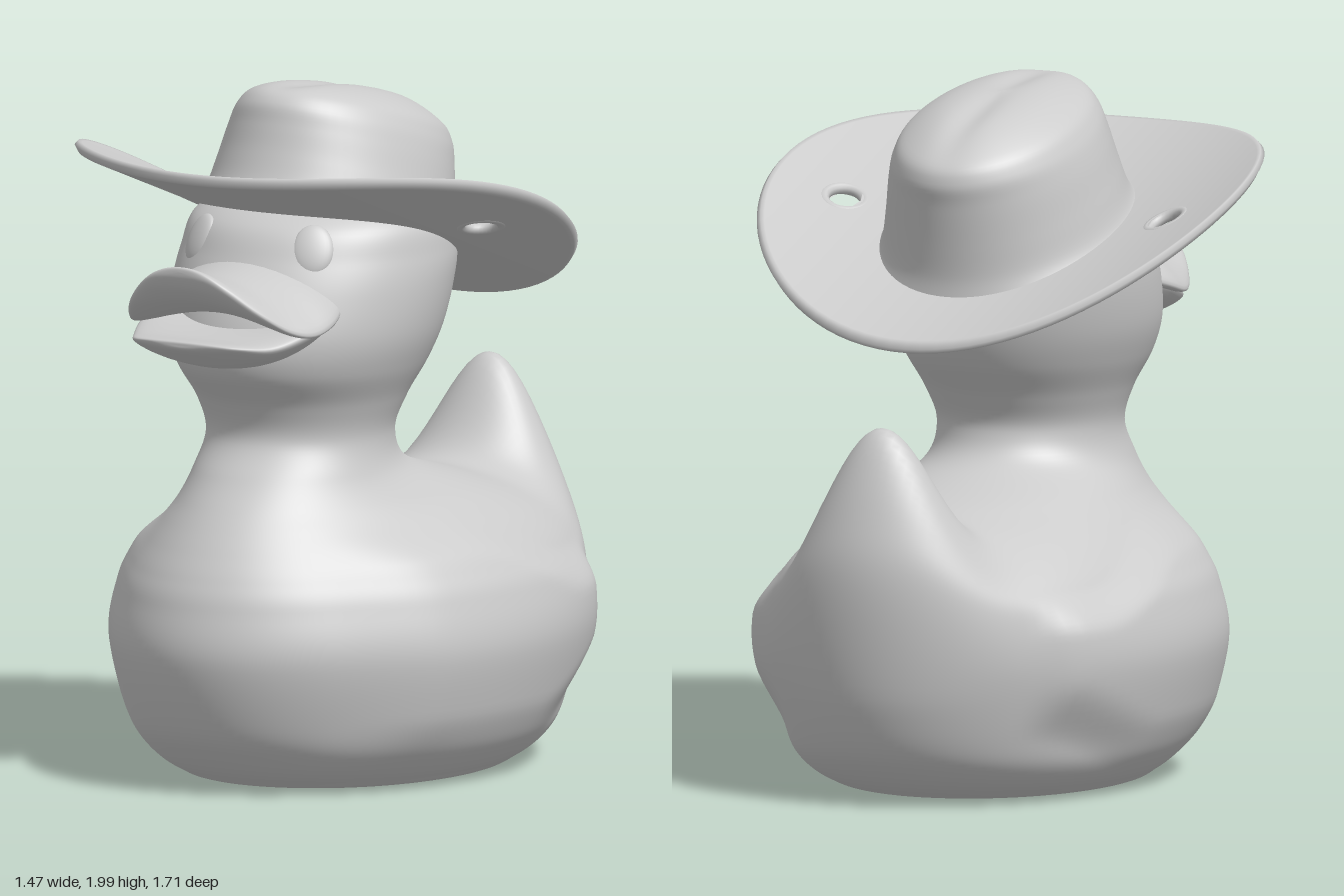
import * as THREE from 'three';

const { smoothstep } = THREE.MathUtils;
const material = new THREE.MeshStandardMaterial({ color: 0xcccccc, side: THREE.DoubleSide });

// Smoothly interpolate rows of section parameters, with `steps` samples per span
function spline(rows, steps) {
  const out = [];
  const last = rows.length - 1;
  for (let i = 0; i < last; i++) {
    const [a, b, c, d] = [rows[Math.max(i - 1, 0)], rows[i], rows[i + 1], rows[Math.min(i + 2, last)]];
    for (let s = 0; s < steps; s++) {
      const t = s / steps;
      out.push(b.map((q, k) => {
        const linear = c[k] - a[k];
        const square = 2 * a[k] - 5 * q + 4 * c[k] - d[k];
        const cube = 3 * (q - c[k]) + d[k] - a[k];
        return q + 0.5 * t * (linear + t * (square + t * cube));
      }));
    }
  }
  out.push(rows[last]);
  return out;
}

// Skin closed rings; point(row, cos, sin) returns [x, y, z]; skip(i, j) leaves a cell open
function loft(name, rows, sides, point, skip = () => false) {
  const pos = [], index = [];
  rows.forEach((row, i) => {
    for (let j = 0; j < sides; j++) {
      const t = (j / sides) * Math.PI * 2;
      pos.push(...point(row, Math.cos(t), Math.sin(t)));
      if (i === rows.length - 1 || skip(i, j)) continue;
      const a = i * sides + j, b = i * sides + (j + 1) % sides;
      index.push(a, a + sides, b, b, a + sides, b + sides);
    }
  });
  const geo = new THREE.BufferGeometry();
  geo.setAttribute('position', new THREE.Float32BufferAttribute(pos, 3));
  geo.setIndex(index);
  geo.computeVertexNormals();
  const mesh = new THREE.Mesh(geo, material);
  mesh.name = name;
  return mesh;
}

// Tilted hat brim, curled up at the sides
const brimY = (x, z) => 1.507 + 0.358 * z + 0.165 * (x / 0.735) ** 2;

// Body, neck and head from [y, halfWidth, frontZ, backZ]
function bodyPoint([level, w, f, b], c, s) {
  let x = w * c, y = level;
  const z = (f + b) / 2 + ((f - b) / 2) * s;
  // folded wings swell from the flanks
  const wingTop = 0.78 - 0.16 * smoothstep(-z, -0.15, 0.4);
  const wingBottom = 0.05 + 0.15 * smoothstep(-z, 0.1, 0.58);
  const wing = smoothstep(wingTop - y, 0, 0.12) * smoothstep(y - wingBottom, 0, 0.18)
    * smoothstep(z, -0.6, -0.48) * smoothstep(0.62 - z, 0, 0.3) * smoothstep(Math.abs(x), 0.15, 0.35);
  x += Math.sign(x) * 0.045 * wing;
  // tail is drawn up out of the rump
  y += 0.385 * Math.exp(-((z + 0.725) ** 2) / 0.022 - x * x / 0.05) * smoothstep(y, 0.3, 0.65);
  // head stops inside the brim
  if (level > 1.3) y = Math.min(y, brimY(x, z));
  return [x, Math.max(y, 0), z];
}

// Beak section from [z, y, halfWidth, halfThickness, droop]
const beakPoint = ([z, y, w, t, droop], c, s) => [w * c, y + t * s - droop * c * c, z];

// Crown section from [frontZ, frontY, backZ, backY, halfWidth, crease]
function crownPoint([fz, fy, bz, by, w, crease], c, s) {
  const k = (s + 1) / 2, x = w * c, z = bz + (fz - bz) * k;
  const y = by + (fy - by) * k - crease * Math.exp(-((x / 0.05) ** 2));
  return [x, Math.max(y, brimY(x, z)), z];
}

// Brim point from [u, h]; the sheet is pushed open around each vent hole
const HOLE = { x: 0.5134, z: 0.0839, r: 0.035, reach: 0.12 };
function brimPoint([u, h], c, s) {
  let x = 0.735 * u * c, z = 0.115 + 0.68 * u * s;
  const cx = Math.sign(x) * HOLE.x;
  const dx = x - cx, dz = z - HOLE.z, d = Math.hypot(dx, dz);
  if (d > 0 && d < HOLE.reach) {
    const k = (HOLE.r + d * (1 - HOLE.r / HOLE.reach)) / d;
    x = cx + dx * k;
    z = HOLE.z + dz * k;
  }
  return [x, brimY(x, z) + h, z];
}

export function createModel() {
  const duck = new THREE.Group();
  duck.name = 'duckWithHat';

  duck.add(loft('body', spline([
    [0, 0, 0, 0], [0, 0.36, 0.46, -0.43], [0.03, 0.455, 0.59, -0.58], [0.1, 0.525, 0.69, -0.69],
    [0.2, 0.55, 0.77, -0.765], [0.4, 0.59, 0.835, -0.835], [0.55, 0.565, 0.815, -0.857],
    [0.63, 0.525, 0.785, -0.825], [0.7, 0.47, 0.745, -0.74], [0.76, 0.41, 0.705, -0.6],
    [0.82, 0.345, 0.66, -0.39], [0.9, 0.285, 0.595, -0.11], [1, 0.265, 0.525, -0.035],
    [1.1, 0.295, 0.55, -0.075], [1.2, 0.345, 0.62, -0.15], [1.3, 0.38, 0.635, -0.2],
    [1.42, 0.395, 0.6, -0.235], [1.52, 0.39, 0.555, -0.25], [1.62, 0.36, 0.49, -0.2],
    [1.68, 0.25, 0.35, -0.1], [1.7, 0, 0.12, 0.12],
  ], 8), 128, bodyPoint));

  duck.add(loft('upperBeak', spline([
    [0.856, 1.53, 0, 0, 0], [0.852, 1.525, 0.09, 0.018, 0.012], [0.83, 1.505, 0.155, 0.034, 0.03],
    [0.78, 1.475, 0.225, 0.044, 0.06], [0.7, 1.45, 0.28, 0.052, 0.09], [0.62, 1.445, 0.31, 0.06, 0.1],
    [0.52, 1.46, 0.31, 0.065, 0.09], [0.4, 1.46, 0.26, 0.06, 0.05],
  ], 5), 48, beakPoint));

  duck.add(loft('lowerBeak', spline([
    [0.856, 1.318, 0, 0, 0], [0.852, 1.317, 0.1, 0.012, -0.005], [0.82, 1.307, 0.18, 0.022, -0.01],
    [0.74, 1.285, 0.24, 0.04, -0.025], [0.65, 1.282, 0.28, 0.055, -0.05], [0.55, 1.285, 0.295, 0.06, -0.08],
    [0.42, 1.3, 0.27, 0.06, -0.1],
  ], 5), 48, beakPoint));

  // Hat: brim sheet runs underside, rim, then upper side
  const hat = new THREE.Group();
  hat.name = 'hat';
  const rings = Array.from({ length: 21 }, (_, k) => Math.min(0.4 + 0.03 * k, 0.985));
  const brimRows = [...rings.map(u => [u, -0.016]), [1, 0], ...rings.slice().reverse().map(u => [u, 0.016])];
  const openCell = (i, j) => [9, 10, 31, 32].includes(i) && [48, 49, 94, 95].includes(j);
  hat.add(loft('brim', brimRows, 96, brimPoint, openCell));

  hat.add(loft('crown', spline([
    [0.53, 1.685, -0.29, 1.41, 0.4, 0], [0.475, 1.73, -0.29, 1.47, 0.352, 0], [0.435, 1.82, -0.305, 1.56, 0.325, 0],
    [0.41, 1.9, -0.33, 1.68, 0.3, 0], [0.39, 1.96, -0.345, 1.75, 0.275, 0], [0.34, 1.995, -0.315, 1.815, 0.235, 0.004],
    [0.23, 2, -0.18, 1.91, 0.14, 0.015], [0.06, 1.985, 0.06, 1.985, 0, 0.015],
  ], 6), 72, crownPoint));

  for (const side of [1, -1]) {
    const label = side > 0 ? 'left' : 'right';

    // Rolled lip round the vent hole
    const lip = new THREE.Mesh(new THREE.TorusGeometry(0.061, 0.017, 10, 28), material);
    lip.name = label + 'VentLip';
    lip.position.set(side * HOLE.x, brimY(HOLE.x, HOLE.z), HOLE.z);
    lip.quaternion.setFromUnitVectors(new THREE.Vector3(0, 0, 1),
      new THREE.Vector3(-side * 0.32, 1, -0.358).normalize());
    hat.add(lip);

    // Shallow oval eye
    const eye = new THREE.Mesh(new THREE.SphereGeometry(1, 28, 18), material);
    eye.name = label + 'Eye';
    eye.scale.set(0.06, 0.075, 0.022);
    eye.position.set(side * 0.195, 1.56, 0.467);
    eye.rotation.set(-0.4, side * 0.5, 0, 'YXZ');
    duck.add(eye);
  }
  duck.add(hat);
  return duck;
}
